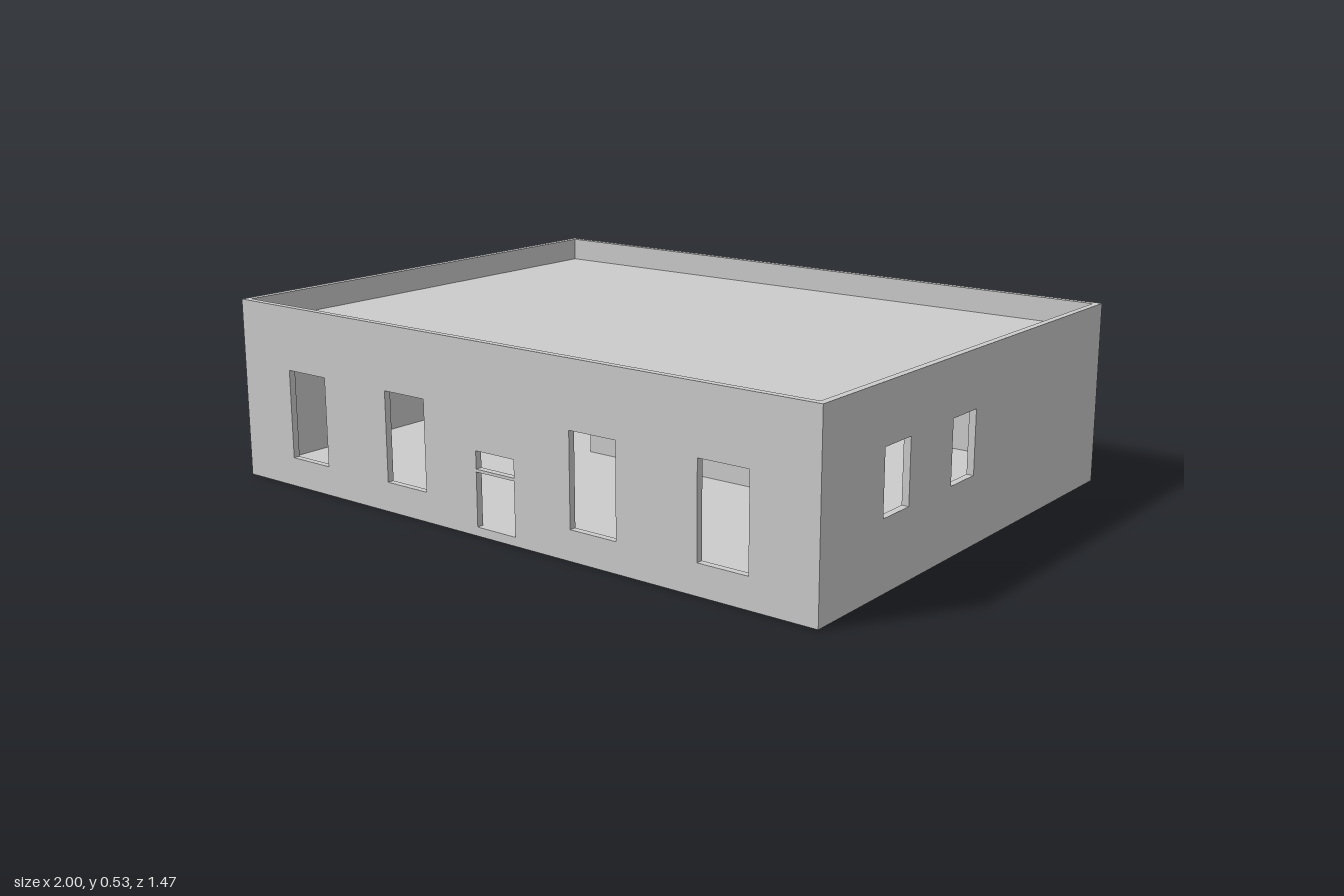
import * as THREE from 'three';

const W = 2, D = 1.47, H = 0.53, T = 0.02, FLOOR = 0.025, ROOF = 0.46;

export function createModel() {
  const group = new THREE.Group();
  const material = new THREE.MeshStandardMaterial({ color: 0xcccccc, flatShading: true });

  function add(name, geometry) {
    const mesh = new THREE.Mesh(geometry, material);
    mesh.name = name;
    group.add(mesh);
    return mesh;
  }

  // Box given by its lower and upper limits on each axis
  function box(name, x0, x1, y0, y1, z0, z1) {
    const g = new THREE.BoxGeometry(x1 - x0, y1 - y0, z1 - z0);
    return add(name, g.translate((x0 + x1) / 2, (y0 + y1) / 2, (z0 + z1) / 2));
  }

  // Upright wall panel with rectangular openings [u0, u1, y0, y1]
  function wall(name, halfLength, openings) {
    const rect = (path, u0, u1, y0, y1) => {
      path.moveTo(u0, y0);
      path.lineTo(u1, y0);
      path.lineTo(u1, y1);
      path.lineTo(u0, y1);
      path.closePath();
      return path;
    };
    const shape = rect(new THREE.Shape(), -halfLength, halfLength, 0, H);
    for (const o of openings) shape.holes.push(rect(new THREE.Path(), ...o));
    return add(name, new THREE.ExtrudeGeometry(shape, { depth: T, bevelEnabled: false }));
  }

  // Front wall: four tall windows around a doorway
  const frontOpenings = [-0.805, -0.41, 0.255, 0.655].map(x => [x, x + 0.15, 0.085, 0.345]);
  frontOpenings.push([-0.07, 0.065, FLOOR, 0.235]);
  wall('frontWall', W / 2, frontOpenings).position.z = D / 2 - T;
  wall('backWall', W / 2, []).position.z = -D / 2;

  // Side walls: two windows each, towards the front
  const sideOpenings = [[-0.46, -0.34, 0.193, 0.37], [-0.13, -0.01, 0.193, 0.37]];
  for (const [name, x] of [['leftWall', W / 2 - T], ['rightWall', -W / 2]]) {
    const side = wall(name, D / 2 - T, sideOpenings);
    side.rotation.y = Math.PI / 2;
    side.position.x = x;
  }

  // Floor slab and roof deck set below the parapet
  const ix = W / 2 - T, iz = D / 2 - T;
  box('floor', -ix, ix, 0, FLOOR, -iz, iz);
  box('roof', -ix, ix, ROOF - 0.02, ROOF, -iz, iz);

  // Crossbar over the door
  box('doorTransom', -0.07, 0.065, 0.177, 0.185, D / 2 - T, D / 2);

  // Low furniture inside
  box('counter', -0.305, 0.295, FLOOR, 0.18, -0.25, 0.0);
  box('sideCounter', 0.45, 0.69, FLOOR, 0.165, -0.05, 0.2);

  return group;
}
